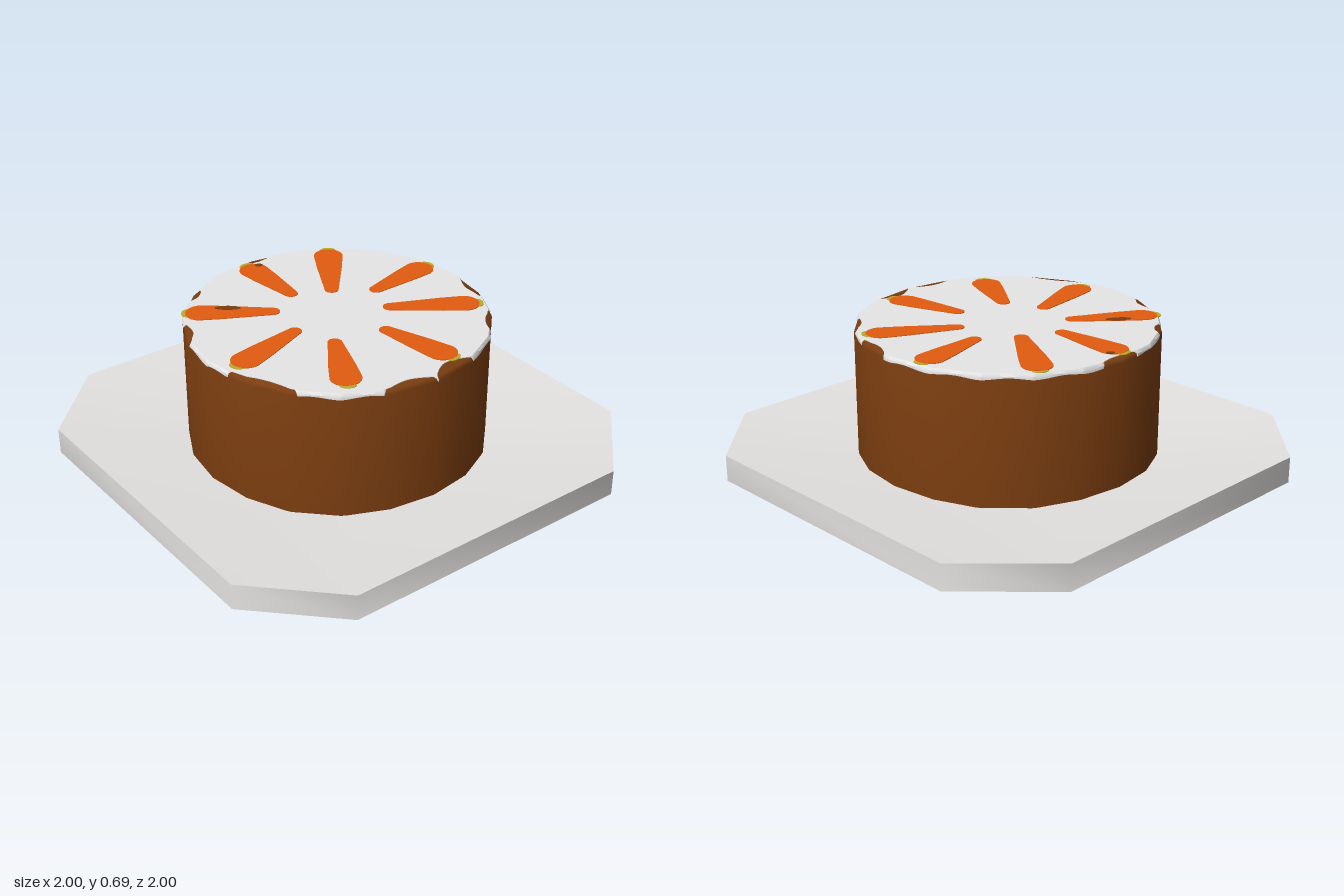
import * as THREE from 'three';
import { toCreasedNormals } from 'three/addons/utils/BufferGeometryUtils.js';

const paint = (name, color, side = THREE.FrontSide) => {
  const m = new THREE.MeshStandardMaterial({ color, side });
  m.name = name;
  return m;
};
const v2 = (list) => list.map(([x, y]) => new THREE.Vector2(x, y));

const CAKE_R = 0.645, TOP = 0.688, DEG = Math.PI / 180;

// Octagonal plate: an eight-sided lathe squared off to long sides and short corners
function plateGeometry() {
  const g = new THREE.LatheGeometry(
    v2([[0, 0], [0.35, 0], [1, 0.055], [1, 0.17], [0.35, 0.108], [0, 0.108]]), 8, Math.PI / 8);
  const p = g.attributes.position;
  for (let i = 0; i < p.count; i++) {
    const x = p.getX(i), z = p.getZ(i), r = Math.hypot(x, z);
    const wide = Math.abs(x) > Math.abs(z);
    p.setX(i, Math.sign(x) * r * (wide ? 1 : 0.667));
    p.setZ(i, Math.sign(z) * r * (wide ? 0.667 : 1));
  }
  return toCreasedNormals(g, Math.PI / 3);
}

// Bare spots along the icing edge: start angle, end angle, depth
const BARE = [[-98, -82, 0.022], [-131, -122, 0.02], [-164, -151, 0.02], [141, 169, 0.022],
  [91, 110, 0.028], [71, 90, 0.042], [34, 47, 0.014], [6, 22, 0.022]];

// Icing: a thin disc with a ragged rim and a short skirt over the side
function icingGeometry() {
  const n = 240, pos = [0, TOP + 0.003, 0], idx = [];
  for (let i = 0; i < n; i++) {
    const deg = (i / n) * 360 - 180, a = deg * DEG;
    const local = (((deg % 18) + 18) % 18) - 9;
    const edge = CAKE_R * Math.cos(9 * DEG) / Math.cos(local * DEG);
    const bare = BARE.find(([s, e]) => deg > s && deg < e);
    const cut = bare ? 0.006 + bare[2] * Math.sin(Math.PI * (deg - bare[0]) / (bare[1] - bare[0])) : 0;
    const drop = bare ? 0.004 : 0.019 + 0.004 * Math.sin(deg * 0.31);
    const r1 = edge - 0.006 - cut, r2 = bare ? r1 : edge + 0.002;
    const c = Math.cos(a), s = Math.sin(a);
    pos.push(r1 * c, TOP + 0.003, r1 * s, r2 * c, TOP - (bare ? 0.001 : 0.008), r2 * s, r2 * c, TOP - drop, r2 * s);
    const k = 1 + i * 3, q = 1 + ((i + 1) % n) * 3;
    idx.push(0, q, k);
    for (let j = 0; j < 2; j++) idx.push(k + j, q + j, k + j + 1, q + j, q + j + 1, k + j + 1);
  }
  const g = new THREE.BufferGeometry();
  g.setAttribute('position', new THREE.Float32BufferAttribute(pos, 3));
  g.setIndex(idx);
  return toCreasedNormals(g, Math.PI / 5);
}

// Flat outline laid horizontally as a thin plate
function flatPlate(shape, depth) {
  return new THREE.ExtrudeGeometry(shape, { depth, bevelEnabled: false, curveSegments: 10 }).rotateX(-Math.PI / 2);
}

// Tapered carrot outline running along x from 0 to len
function carrotShape(len) {
  const s = new THREE.Shape(), tip = 0.03, top = 0.064;
  s.absarc(tip, 0, tip, Math.PI / 2, Math.PI * 1.5, false);
  s.lineTo(len * 0.6, -0.056);
  s.absarc(len - top, 0, top, -Math.PI / 2, Math.PI / 2, false);
  s.lineTo(len * 0.6, 0.056);
  s.closePath();
  return s;
}

// Carrots: inner x, inner z, outer x, outer z
const CARROTS = [[-0.045, -0.24, -0.045, -0.61], [0.1, -0.17, 0.34, -0.52], [0.24, -0.075, 0.605, -0.13],
  [0.19, 0.065, 0.54, 0.28], [0.07, 0.2, 0.15, 0.57], [-0.14, 0.16, -0.32, 0.49],
  [-0.2, 0.005, -0.58, 0.105], [-0.175, -0.165, -0.5, -0.39]];

export function createModel() {
  const group = new THREE.Group();
  const white = paint('plate white', 0xe4e2e0);
  const cream = paint('icing white', 0xe6e6e6, THREE.DoubleSide);
  const brown = paint('cake brown', 0x7a3d10);
  const orange = paint('carrot orange', 0xe35c10);
  const green = paint('leaf green', 0xbcab28);
  const add = (name, geometry, material, parent = group) => {
    const mesh = new THREE.Mesh(geometry, material);
    mesh.name = name;
    parent.add(mesh);
    return mesh;
  };

  add('plate', plateGeometry(), white);

  // Twenty-sided cake with a softened top edge
  const body = new THREE.LatheGeometry(
    v2([[0, 0.1], [CAKE_R, 0.1], [CAKE_R, 0.672], [CAKE_R - 0.003, 0.682], [CAKE_R - 0.01, TOP], [0, TOP]]), 20);
  add('cake', toCreasedNormals(body, Math.PI / 4), brown);
  add('icing', icingGeometry(), cream);

  // Carrot decorations, each with a leafy end
  CARROTS.forEach(([x1, z1, x2, z2]) => {
    const carrot = new THREE.Group();
    carrot.name = 'carrot';
    const len = Math.hypot(x2 - x1, z2 - z1);
    carrot.position.set(x1, TOP + 0.002, z1);
    carrot.rotation.y = -Math.atan2(z2 - z1, x2 - x1);
    add('carrotRoot', flatPlate(carrotShape(len), 0.004), orange, carrot);
    const leaf = new THREE.Shape().absellipse(len - 0.005, 0, 0.022, 0.034, 0, Math.PI * 2);
    add('carrotLeaf', flatPlate(leaf, 0.003), green, carrot);
    group.add(carrot);
  });

  // Small crumbs showing through the decorations
  [[-0.335, -0.32, 0.055, 0.018, 0.65], [0, -0.575, 0.018, 0.014, 0.6]].forEach(([x, z, a, b, turn]) => {
    const crumb = add('crumb', flatPlate(new THREE.Shape().absellipse(0, 0, a, b, 0, Math.PI * 2), 0.002), brown);
    crumb.position.set(x, TOP + 0.005, z);
    crumb.rotation.y = -turn;
  });
  return group;
}
